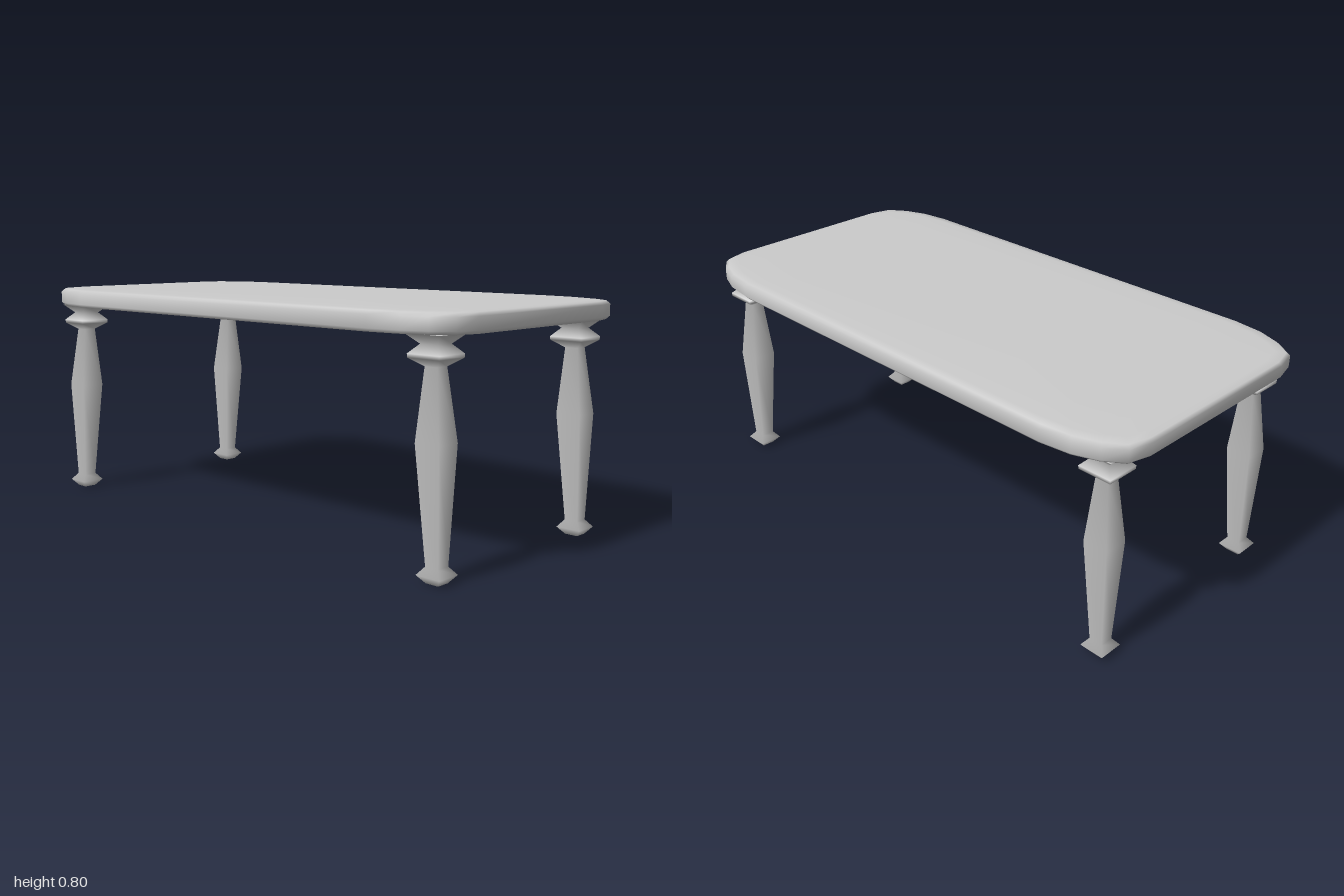
import * as THREE from 'three';

const material = new THREE.MeshStandardMaterial({ color: 0xcccccc, side: THREE.DoubleSide });

// Corner of the top's outline, one quarter: [x, z]
const corner = [[1, 0.33], [0.98, 0.41], [0.917, 0.455], [0.835, 0.486], [0.727, 0.5]];

// Edge section of the top, bottom to top: [inset, y]
const edge = [[0.15, 0.728], [0.04, 0.731], [0.01, 0.734], [0, 0.745],
  [0, 0.785], [0.01, 0.796], [0.04, 0.799], [0.15, 0.802]];

// Square leg section, floor to top: [half width, y]
const legProfile = [[0, 0], [0.023, 0], [0.044, 0.025], [0.024, 0.05], [0.044, 0.415],
  [0.023, 0.637], [0.058, 0.662], [0.059, 0.674], [0.032, 0.702], [0.064, 0.732]];

// Slab lofted through inset copies of the rounded outline
function tableTopGeometry() {
  const back = corner.slice().reverse();
  const outline = [
    ...corner,
    ...back.map(([x, z]) => [-x, z]),
    ...corner.map(([x, z]) => [-x, -z]),
    ...back.map(([x, z]) => [x, -z]),
  ];
  const n = outline.length;
  const positions = [];
  const index = [];
  for (const [inset, y] of edge) {
    for (const [x, z] of outline) positions.push(x * (1 - inset), y, z * (1 - 2 * inset));
  }
  const bottom = edge.length * n;
  const top = bottom + 1;
  positions.push(0, edge[0][1], 0, 0, edge[edge.length - 1][1], 0);
  const last = (edge.length - 1) * n;
  for (let i = 0; i < n; i++) {
    const j = (i + 1) % n;
    for (let r = 0; r < edge.length - 1; r++) {
      const a = r * n + i, b = r * n + j;
      index.push(a, a + n, b, b, a + n, b + n);
    }
    index.push(bottom, i, j, top, last + j, last + i);
  }
  const geometry = new THREE.BufferGeometry();
  geometry.setAttribute('position', new THREE.Float32BufferAttribute(positions, 3));
  geometry.setIndex(index);
  geometry.computeVertexNormals();
  return geometry;
}

// Four-sided turned leg that splays slightly outwards towards the floor
function legGeometry(sx, sz) {
  const points = legProfile.map(([w, y]) => new THREE.Vector2(w * Math.SQRT2, y));
  const geometry = new THREE.LatheGeometry(points, 4, Math.PI / 4);
  const p = geometry.attributes.position;
  for (let i = 0; i < p.count; i++) {
    const t = p.getY(i) / 0.732;
    p.setX(i, p.getX(i) + sx * (0.9 - 0.025 * t));
    p.setZ(i, p.getZ(i) + sz * (0.377 - 0.007 * t));
  }
  return geometry;
}

export function createModel() {
  const table = new THREE.Group();
  table.name = 'table';

  const top = new THREE.Mesh(tableTopGeometry(), material);
  top.name = 'tableTop';
  table.add(top);

  for (const [sx, side] of [[1, 'Left'], [-1, 'Right']]) {
    for (const [sz, end] of [[1, 'front'], [-1, 'back']]) {
      const leg = new THREE.Mesh(legGeometry(sx, sz), material);
      leg.name = `${end}${side}Leg`;
      table.add(leg);
    }
  }
  return table;
}
